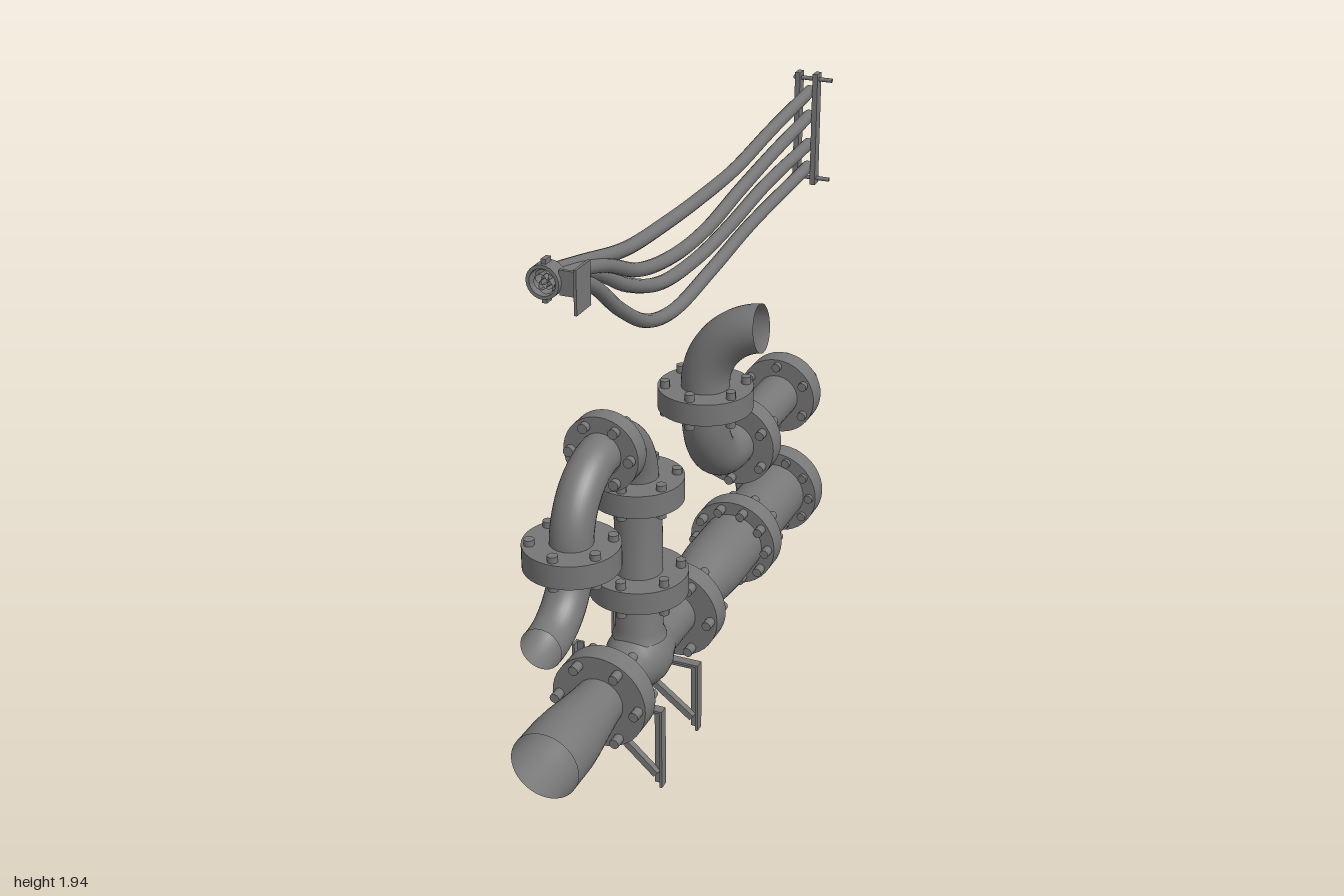
import * as THREE from 'three';
import { toCreasedNormals } from 'three/addons/utils/BufferGeometryUtils.js';

const mat = new THREE.MeshStandardMaterial({ color: 0x777777, side: THREE.DoubleSide });
const V = (x, y, z) => new THREE.Vector3(x, y, z);
const AX = -0.016; // x of all pipe axes
const MAIN_Y = 0.365, SIDE_Y = 0.756;

function add(parent, name, geo, x = 0, y = 0, z = 0) {
  const m = new THREE.Mesh(geo, mat);
  m.name = name;
  m.position.set(x, y, z);
  parent.add(m);
  return m;
}

const box = (parent, name, sx, sy, sz, x, y, z) =>
  add(parent, name, new THREE.BoxGeometry(sx, sy, sz), x, y, z);

function lathe(profile, segments = 40) {
  const pts = profile.map(([r, h]) => new THREE.Vector2(r, h));
  return toCreasedNormals(new THREE.LatheGeometry(pts, segments), 0.6);
}

// Ring (or blind disc when bore is 0) with bolts through it, axis along dir
function flange(parent, name, pos, dir, { R = 0.157, bore = 0.075, t = 0.075, n = 6, phase = 0, bolt = 0.14 }) {
  const g = new THREE.Group();
  g.name = name;
  g.position.copy(pos);
  g.quaternion.setFromUnitVectors(V(0, 1, 0), dir);
  const h = t / 2;
  add(g, 'flangeDisc', lathe([[bore, -h], [R, -h], [R, h], [bore, h]]));
  for (let i = 0; i < n; i++) {
    const a = phase + (i * 2 * Math.PI) / n, d = R - 0.024;
    add(g, 'bolt', new THREE.CylinderGeometry(0.016, 0.016, bolt, 12), d * Math.cos(a), 0, d * Math.sin(a));
  }
  parent.add(g);
}

// Pipe along straight runs with rounded corners
function bentPipe(parent, name, pts, bend, r) {
  const path = new THREE.CurvePath();
  let from = pts[0];
  for (let i = 1; i < pts.length - 1; i++) {
    const c = pts[i];
    const inDir = c.clone().sub(pts[i - 1]).normalize();
    const outDir = pts[i + 1].clone().sub(c).normalize();
    const a = c.clone().addScaledVector(inDir, -bend);
    const b = c.clone().addScaledVector(outDir, bend);
    if (a.distanceTo(from) > 0.002) path.add(new THREE.LineCurve3(from, a));
    path.add(new THREE.CubicBezierCurve3(a, a.clone().addScaledVector(inDir, bend * 0.55),
      b.clone().addScaledVector(outDir, -bend * 0.55), b));
    from = b;
  }
  const end = pts[pts.length - 1];
  if (end.distanceTo(from) > 0.002) path.add(new THREE.LineCurve3(from, end));
  add(parent, name, new THREE.TubeGeometry(path, 72, r, 32));
}

function createModel() {
  const model = new THREE.Group();
  model.name = 'pipework';
  const X = V(1, 0, 0), Y = V(0, 1, 0), Z = V(0, 0, 1);

  // Main run with reducers and a swollen tee
  const main = new THREE.Group();
  main.name = 'mainPipe';
  model.add(main);
  const run = [[0.11, -0.95], [0.11, -0.31], [0.105, -0.24], [0.085, -0.09], [0.079, -0.04],
    [0.079, 0.19], [0.088, 0.22], [0.104, 0.27], [0.107, 0.302], [0.104, 0.335], [0.088, 0.385],
    [0.079, 0.415], [0.079, 0.58], [0.085, 0.65], [0.104, 0.80], [0.109, 0.86], [0.11, 0.975]];
  add(main, 'mainRun', lathe(run).rotateX(Math.PI / 2), AX, MAIN_Y, 0);
  for (const [z, bore, n] of [[0.57, 0.078, 6], [-0.003, 0.078, 6], [-0.525, 0.109, 10], [-0.948, 0, 10]])
    flange(main, bore ? 'mainFlange' : 'mainEndFlange', V(AX, MAIN_Y, z), Z,
      { bore, n, bolt: bore ? 0.15 : 0.104 });

  // Vertical branch and gooseneck
  const branch = new THREE.Group();
  branch.name = 'branchPipe';
  model.add(branch);
  add(branch, 'riser', lathe([[0.088, 0.44], [0.077, 0.47], [0.075, 0.965]]), AX, 0, 0.302);
  bentPipe(branch, 'gooseneck', [V(AX, 0.95, 0.302), V(AX, 1.193, 0.302), V(AX, 1.193, 0.762),
    V(AX, 0.763, 0.762), V(AX, 0.763, 0.972)], 0.205, 0.065);
  const up = Math.PI / 6;
  flange(branch, 'riserFlange', V(AX, 0.637, 0.302), Y, { phase: up, bolt: 0.125 });
  for (const z of [0.302, 0.762])
    flange(branch, 'neckFlange', V(AX, 0.965, z), Y, { R: 0.145, bore: 0.065, phase: up, bolt: 0.112 });
  flange(branch, 'crownFlange', V(AX, 1.188, 0.53), Z, { R: 0.12, bore: 0.065, t: 0.058, bolt: 0.1 });

  // Separate rear pipe, rising and turning to the side
  const rear = new THREE.Group();
  rear.name = 'rearPipe';
  model.add(rear);
  bentPipe(rear, 'rearRun', [V(AX, SIDE_Y, -0.95), V(AX, SIDE_Y, -0.235), V(AX, 1.045, -0.235)], 0.22, 0.078);
  bentPipe(rear, 'sideElbow', [V(AX, 1.04, -0.233), V(AX, 1.28, -0.24), V(0.17, 1.304, -0.248)], 0.185, 0.08);
  flange(rear, 'rearEndFlange', V(AX, SIDE_Y, -0.943), Z, { R: 0.14, bore: 0, phase: up, bolt: 0.114 });
  flange(rear, 'rearFlange', V(AX, SIDE_Y, -0.515), Z, { R: 0.15, phase: up, bolt: 0.14 });
  flange(rear, 'elbowFlange', V(AX, 1.042, -0.235), Y, { phase: up, bolt: 0.125 });

  // Angle-iron brackets under the main run
  for (const [z, foot] of [[0.46, 0], [0.17, 0.035]]) {
    const b = new THREE.Group();
    b.name = 'bracket';
    model.add(b);
    const h = 0.285 - foot, mid = foot + h / 2;
    box(b, 'post', 0.008, h, 0.032, 0.132, mid, z);
    box(b, 'postWeb', 0.034, h, 0.008, 0.119, mid, z - 0.012);
    box(b, 'crossBar', 0.3, 0.008, 0.032, -0.016, 0.281, z);
    box(b, 'crossBarWeb', 0.3, 0.03, 0.008, -0.016, 0.268, z - 0.012);
    box(b, 'hanger', 0.008, 0.21, 0.032, -0.165, 0.355, z);
    box(b, 'hangerWeb', 0.024, 0.21, 0.008, -0.152, 0.355, z - 0.012);
    const dx = 0.25, dy = 0.225 - foot;
    const brace = box(b, 'brace', Math.hypot(dx, dy), 0.022, 0.022, -0.013, foot + 0.04 + dy / 2, z);
    brace.rotation.z = -Math.atan2(dy, dx);
  }

  // Four sagging cables, each a list of [z, y], bowing sideways between the clamps
  const cables = new THREE.Group();
  cables.name = 'cables';
  model.add(cables);
  const sag = [
    [[0.97, 1.895], [0.9, 1.89], [0.76, 1.865], [0.52, 1.82], [0.25, 1.805], [-0.02, 1.80], [-0.29, 1.805], [-0.61, 1.84], [-0.975, 1.87]],
    [[0.97, 1.885], [0.9, 1.88], [0.68, 1.83], [0.46, 1.74], [0.22, 1.70], [-0.02, 1.70], [-0.29, 1.735], [-0.61, 1.765], [-0.975, 1.785]],
    [[0.97, 1.88], [0.9, 1.875], [0.70, 1.815], [0.52, 1.715], [0.30, 1.64], [0.03, 1.62], [-0.23, 1.635], [-0.55, 1.67], [-0.975, 1.685]],
    [[0.97, 1.87], [0.9, 1.868], [0.73, 1.79], [0.57, 1.66], [0.41, 1.565], [0.22, 1.525], [-0.07, 1.55], [-0.39, 1.585], [-0.975, 1.605]],
  ];
  const startX = [0.025, 0.042, 0.02, 0.035];
  const bow = [0.004, 0.02, 0.008, 0.016];
  sag.forEach((pts, i) => {
    const curve = new THREE.CatmullRomCurve3(pts.map(([z, y]) => {
      const k = Math.min(1, (0.97 - z) / 0.5);
      const side = bow[i] * Math.sin((Math.PI * (0.975 - z)) / 1.95);
      return V(startX[i] + (0.052 - startX[i]) * k + side, y, z);
    }));
    add(cables, 'cable', new THREE.TubeGeometry(curve, 60, 0.021, 12));
  });

  // Front cable clamp on a wall plate
  const clamp = new THREE.Group();
  clamp.name = 'frontClamp';
  model.add(clamp);
  add(clamp, 'clampRing', lathe([[0.038, -0.025], [0.048, -0.025], [0.048, 0.025], [0.038, 0.025], [0.038, -0.025]], 24)
    .rotateX(Math.PI / 2), 0.028, 1.882, 0.95);
  box(clamp, 'clampArm', 0.066, 0.07, 0.01, 0.102, 1.883, 0.955);
  box(clamp, 'wallPlate', 0.008, 0.125, 0.085, 0.134, 1.878, 0.9575);
  for (const s of [-1, 1]) box(clamp, 'clampLug', 0.014, 0.018, 0.03, 0.028, 1.882 + s * 0.052, 0.95);

  // Rear clamp: two upright bars pinched by through bolts
  const rack = new THREE.Group();
  rack.name = 'rearClamp';
  model.add(rack);
  for (const x of [0.021, 0.083]) box(rack, 'clampBar', 0.018, 0.385, 0.038, x, 1.7475, -0.954);
  for (const y of [1.575, 1.92]) {
    const bolt = add(rack, 'throughBolt', new THREE.CylinderGeometry(0.007, 0.007, 0.135, 10), 0.07, y, -0.954);
    bolt.quaternion.setFromUnitVectors(Y, X);
  }
  return model;
}

export { createModel };
